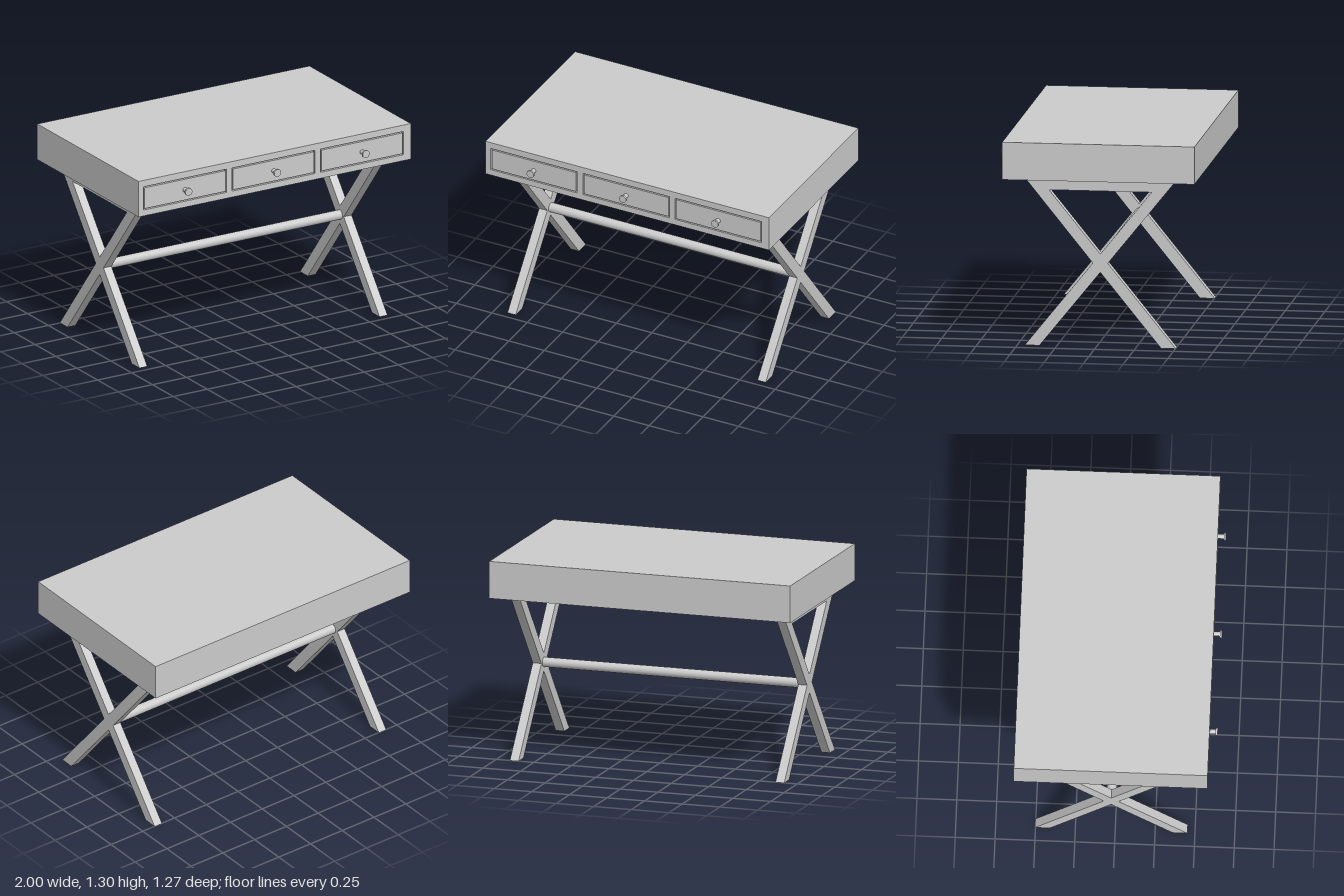
import * as THREE from 'three';

const material = new THREE.MeshStandardMaterial({ color: 0xcccccc });

function add(parent, name, geometry, x, y, z) {
  const mesh = new THREE.Mesh(geometry, material);
  mesh.name = name;
  mesh.position.set(x, y, z);
  parent.add(mesh);
  return mesh;
}

const toPoints = (pairs) => pairs.map(([x, y]) => new THREE.Vector2(x, y));

export function createModel() {
  const model = new THREE.Group();
  model.name = 'desk';

  const bottom = 1.067, top = 1.305, back = -0.633, front = 0.583;
  const frameDepth = 0.05;
  const drawerBottom = 1.107, drawerTop = 1.262, drawerWidth = 0.61, gap = 0.008;
  const drawerY = (drawerBottom + drawerTop) / 2;
  const drawerXs = [-0.66, -0.008, 0.642];

  // Solid body behind the front frame
  const bodyDepth = front - frameDepth - back;
  add(model, 'deskBody', new THREE.BoxGeometry(2, top - bottom, bodyDepth),
    0, (top + bottom) / 2, back + bodyDepth / 2);

  // Front frame with three drawer openings
  const frame = new THREE.Shape(toPoints([[-1, bottom], [1, bottom], [1, top], [-1, top]]));
  for (const x of drawerXs) {
    const l = x - drawerWidth / 2, r = x + drawerWidth / 2;
    frame.holes.push(new THREE.Path(toPoints(
      [[l, drawerBottom], [l, drawerTop], [r, drawerTop], [r, drawerBottom]])));
  }
  add(model, 'frontFrame', new THREE.ExtrudeGeometry(frame, { depth: frameDepth, bevelEnabled: false }),
    0, 0, front - frameDepth);

  // Drawer fronts, each with a round knob
  const knobProfile = toPoints([
    [0.015, 0], [0.015, 0.037], [0.015, 0.037], [0.025, 0.037], [0.025, 0.037],
    [0.025, 0.05], [0.025, 0.05], [0, 0.05],
  ]);
  const knobGeometry = new THREE.LatheGeometry(knobProfile, 24).rotateX(Math.PI / 2);
  for (const x of drawerXs) {
    const drawer = new THREE.Group();
    drawer.name = 'drawer';
    drawer.position.set(x, drawerY, front);
    add(drawer, 'drawerFront', new THREE.BoxGeometry(
      drawerWidth - 2 * gap, drawerTop - drawerBottom - 2 * gap, frameDepth), 0, 0, -frameDepth / 2);
    add(drawer, 'knob', knobGeometry, 0, 0, 0);
    model.add(drawer);
  }

  // Crossed trestle legs, joined by a rail under the body
  const legZ = -0.025, legWidth = 0.058, crossY = 0.533;
  const legShape = new THREE.Shape(toPoints([
    [-0.478, 0], [-0.385, 0], [0, 0.475], [0.385, 0], [0.478, 0],
    [0.047, crossY], [0.478, bottom], [-0.478, bottom], [-0.047, crossY],
  ]));
  legShape.holes.push(new THREE.Path(toPoints([[0, 0.591], [-0.325, 0.993], [0.325, 0.993]])));
  const legGeometry = new THREE.ExtrudeGeometry(legShape, { depth: legWidth, bevelEnabled: false })
    .translate(0, 0, -legWidth / 2).rotateY(-Math.PI / 2);
  add(model, 'rightLegs', legGeometry, -0.885, 0, legZ);
  add(model, 'leftLegs', legGeometry, 0.88, 0, legZ);

  // Round stretcher between the crossings
  add(model, 'stretcher', new THREE.CylinderGeometry(0.031, 0.031, 1.72, 32).rotateZ(Math.PI / 2),
    -0.0025, crossY, legZ);

  return model;
}
